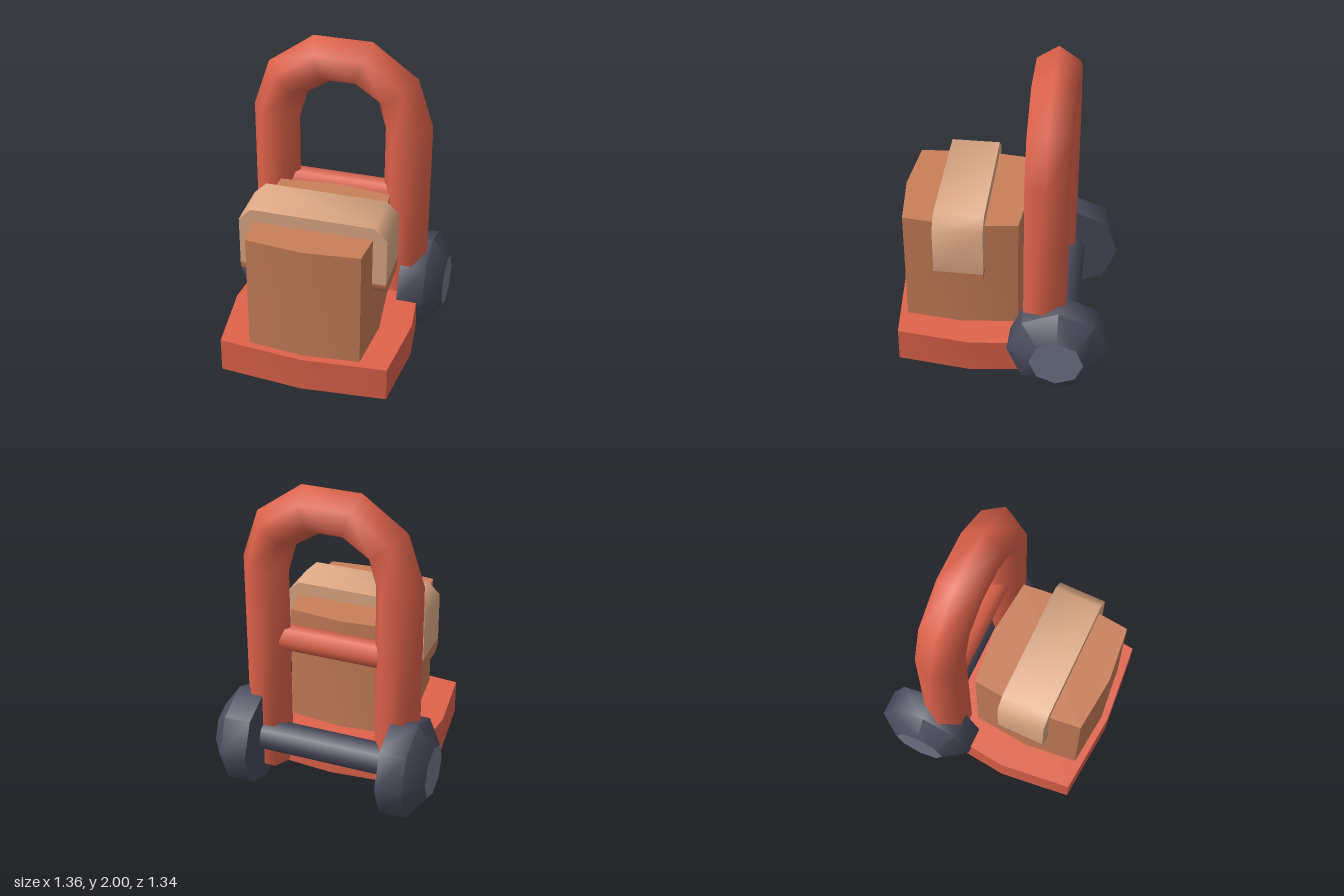
import * as THREE from 'three';
import { toCreasedNormals } from 'three/addons/utils/BufferGeometryUtils.js';

const material = (name, color) => {
  const m = new THREE.MeshStandardMaterial({ color });
  m.name = name;
  return m;
};

export function createModel() {
  const red = material('red paint', 0xdf634b);
  const cardboard = material('cardboard', 0xc97f5a);
  const tape = material('pale tape', 0xdfaa86);
  const rubber = material('dark rubber', 0x4a4a5c);
  const steel = material('grey hub', 0x73778a);

  const group = new THREE.Group();
  const add = (name, geometry, mat, x = 0, y = 0, z = 0) => {
    const mesh = new THREE.Mesh(geometry, mat);
    mesh.name = name;
    mesh.position.set(x, y, z);
    group.add(mesh);
    return mesh;
  };
  const extrude = (points, depth) => new THREE.ExtrudeGeometry(
    new THREE.Shape(points.map(([x, y]) => new THREE.Vector2(x, y))),
    { depth, bevelEnabled: false });

  // Upright block whose four sides bulge slightly at the middle
  const bulgedBlock = (cx, cz, mx, mz, height) => {
    const g = extrude([[cx, -cz], [mx, 0], [cx, cz], [0, mz],
      [-cx, cz], [-mx, 0], [-cx, -cz], [0, -mz]], height);
    g.rotateX(-Math.PI / 2);
    return toCreasedNormals(g, 0.5);
  };
  add('basePlate', bulgedBlock(0.52, 0.45, 0.57, 0.495, 0.225), red, 0, 0.1, 0.175);
  add('box', bulgedBlock(0.345, 0.345, 0.38, 0.38, 0.765), cardboard, 0, 0.315, 0.248);

  // Tape band over the box
  const band = extrude([[-0.45, 0.775], [0.45, 0.775], [0.45, 1.085],
    [0.375, 1.16], [-0.375, 1.16], [-0.45, 1.085]], 0.3);
  add('tapeBand', toCreasedNormals(band, 0.9), tape, 0, 0, 0.1);

  // Chamfered lower ends of the band, one piece passing through the box
  const ends = extrude([[-0.11, 0.7], [0.11, 0.7], [0.15, 0.74],
    [0.15, 0.775], [-0.15, 0.775], [-0.15, 0.74]], 0.9);
  ends.translate(0, 0, -0.45).rotateY(Math.PI / 2);
  add('tapeEnds', toCreasedNormals(ends, 0.9), cardboard, 0, 0, 0.25);

  // Hooped handle: six-sided rings between outer and inner outline points
  const half = [
    [0.56, 0.11, 0.27, 0.11],
    [0.56, 1.49, 0.27, 1.44],
    [0.46, 1.795, 0.22, 1.62],
    [0.18, 2.0, 0.08, 1.71],
  ];
  const rings = [...half,
    ...half.slice().reverse().map(([a, b, c, d]) => [-a, b, -c, d])];
  const sides = 6, tubeRadius = 0.145;
  const positions = [], index = [];
  rings.forEach(([ox, oy, ix, iy], i) => {
    for (let j = 0; j < sides; j++) {
      const a = j / sides * Math.PI * 2, c = Math.cos(a) / 2;
      positions.push((ox + ix) / 2 + (ox - ix) * c,
        (oy + iy) / 2 + (oy - iy) * c, Math.sin(a) * tubeRadius);
      if (i < rings.length - 1) {
        const k = (j + 1) % sides, p = i * sides, q = p + sides;
        index.push(p + j, q + j, p + k, p + k, q + j, q + k);
      }
    }
  });
  const hoop = new THREE.BufferGeometry();
  hoop.setAttribute('position', new THREE.Float32BufferAttribute(positions, 3));
  hoop.setIndex(index);
  hoop.computeVertexNormals();
  add('handle', hoop, red, 0, 0, -0.27);
  for (const s of [-1, 1]) {
    const cap = new THREE.CircleGeometry(tubeRadius, sides).rotateX(Math.PI / 2);
    add('handleFoot', cap, red, s * 0.415, 0.11, -0.27);
  }

  // Crossbar and axle
  const rod = (radius, length, n) =>
    new THREE.CylinderGeometry(radius, radius, length, n).rotateZ(Math.PI / 2);
  add('crossbar', rod(0.08, 0.8, 6), red, 0, 0.99, -0.27);
  add('axle', rod(0.098, 0.9, 8), rubber, 0, 0.32, -0.363);

  // Eight-sided wheels with a bevelled outer edge and a flat hub
  const profile = [[0, 0.415], [0.31, 0.415], [0.31, 0.58], [0.165, 0.68]]
    .map(([r, x]) => new THREE.Vector2(r, x));
  const wheel = toCreasedNormals(
    new THREE.LatheGeometry(profile, 8).rotateZ(-Math.PI / 2), 1.05);
  const hub = new THREE.CircleGeometry(0.165, 8).rotateY(Math.PI / 2).translate(0.68, 0, 0);
  for (const [side, turn] of [['left', 0], ['right', Math.PI]]) {
    add(side + 'Wheel', wheel, rubber, 0, 0.315, -0.363).rotation.y = turn;
    add(side + 'Hub', hub, steel, 0, 0.315, -0.363).rotation.y = turn;
  }
  return group;
}
